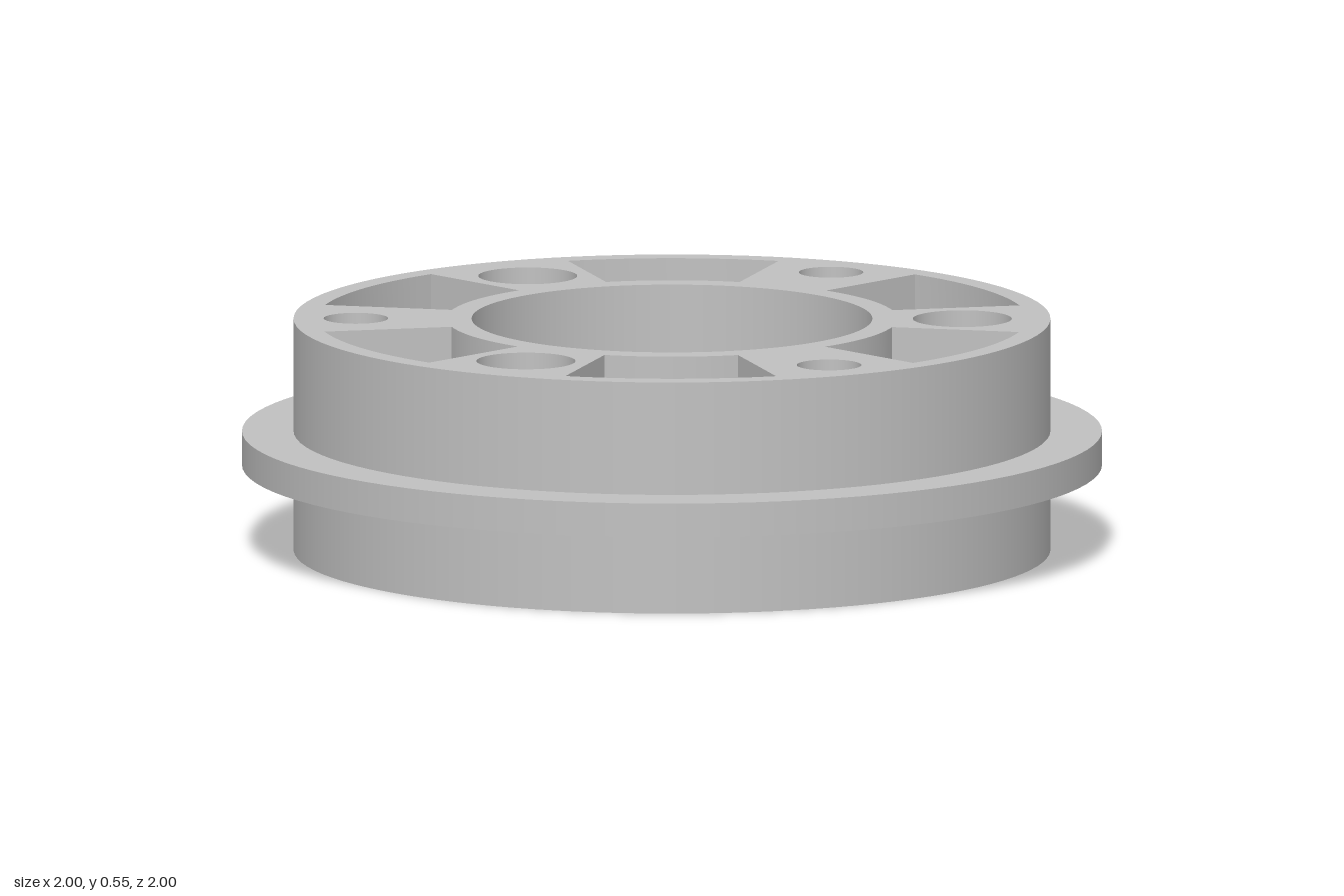
import * as THREE from 'three';
import { toCreasedNormals } from 'three/addons/utils/BufferGeometryUtils.js';

const R_BODY = 0.88, R_BORE = 0.466, R_FLANGE = 1, HEIGHT = 0.545;
const FLANGE_LOW = 0.2, FLANGE_HIGH = 0.28, POCKET_FLOOR = 0.2;
const SCREW_R = 0.07, SCREW_Y = 0.09, GAP = 0.14;
const rad = THREE.MathUtils.degToRad;

// Bolt holes: three large and three small, alternating every 60 degrees
const HOLES = [];
for (let i = 0; i < 3; i++) {
  const a = rad(-90 + i * 120), b = rad(90 + i * 120);
  HOLES.push({ x: 0.675 * Math.cos(a), z: 0.675 * Math.sin(a), r: 0.115 });
  HOLES.push({ x: 0.735 * Math.cos(b), z: 0.735 * Math.sin(b), r: 0.075 });
}

// Reverse the facing of an indexed geometry
function flip(g) {
  const index = g.index.array, n = g.attributes.normal.array;
  for (let i = 0; i < index.length; i += 3) [index[i], index[i + 1]] = [index[i + 1], index[i]];
  for (let i = 0; i < n.length; i++) n[i] = -n[i];
  return g;
}

// Flat horizontal face; shape coordinates are (x, z)
function face(shape, y, up) {
  const g = new THREE.ShapeGeometry(shape, 48).rotateX(Math.PI / 2).translate(0, y, 0);
  return up ? flip(g) : g;
}

// Skin between closed loops of [x, y, z] points
function loft(loops) {
  const n = loops[0].length, index = [];
  for (let j = 0; j < loops.length - 1; j++) {
    for (let i = 0; i < n; i++) {
      const a = j * n + i, b = j * n + (i + 1) % n;
      index.push(a, b, a + n, b, b + n, a + n);
    }
  }
  const g = new THREE.BufferGeometry();
  g.setAttribute('position', new THREE.Float32BufferAttribute(loops.flat(2), 3));
  g.setIndex(index);
  g.computeVertexNormals();
  return g;
}

// Open cylinder wall, optionally leaving a gap around +x for the screw hole
function wall(r, y0, y1, inward = false, gap = 0) {
  const g = new THREE.CylinderGeometry(r, r, y1 - y0, 96, 1, true, Math.PI / 2 + gap, Math.PI * 2 - 2 * gap);
  g.translate(0, (y0 + y1) / 2, 0);
  return inward ? flip(g) : g;
}

// Loop on a cylinder of radius r, from screw hole circle (t = 0) to patch border (t = 1)
function screwLoop(r, t) {
  const points = [];
  for (let i = 0; i < 48; i++) {
    const a = (i / 48) * Math.PI * 2, c = Math.cos(a), s = Math.sin(a);
    const m = Math.max(Math.abs(c), Math.abs(s));
    const edgeY = (s / m) * (s > 0 ? FLANGE_LOW - SCREW_Y : SCREW_Y);
    const z = THREE.MathUtils.lerp(SCREW_R * c, GAP * c / m, t);
    const y = SCREW_Y + THREE.MathUtils.lerp(SCREW_R * s, edgeY, t);
    points.push([Math.sqrt(r * r - z * z), y, z]);
  }
  return points;
}

// Wedge outline of one pocket, centred on an angle
function pocketPoints(angle) {
  const points = [], half = rad(17.2), steps = 12;
  for (let i = 0; i <= steps; i++) {
    const a = angle - half + (2 * half * i) / steps;
    points.push(new THREE.Vector2(0.828 * Math.cos(a), 0.828 * Math.sin(a)));
  }
  for (let i = steps; i >= 0; i--) {
    const a = angle - half + (2 * half * i) / steps;
    points.push(new THREE.Vector2(0.525 * Math.cos(a), 0.525 * Math.sin(a)));
  }
  return points;
}

// Ring shape with the bolt holes cut when asked
function ring(outer, inner, drilled) {
  const shape = new THREE.Shape().absarc(0, 0, outer, 0, Math.PI * 2);
  shape.holes.push(new THREE.Path().absarc(0, 0, inner, 0, Math.PI * 2, true));
  if (drilled) {
    for (const h of HOLES) shape.holes.push(new THREE.Path().absarc(h.x, h.z, h.r, 0, Math.PI * 2, true));
  }
  return shape;
}

export function createModel() {
  const model = new THREE.Group();
  model.name = 'flangedHub';
  const metal = new THREE.MeshStandardMaterial({ color: 0xc0c0c0, side: THREE.DoubleSide });
  metal.name = 'grey metal';
  const add = (name, geometry) => {
    const mesh = new THREE.Mesh(geometry, metal);
    mesh.name = name;
    model.add(mesh);
    return mesh;
  };

  // Top and bottom faces
  const top = ring(R_BODY, R_BORE, true);
  const pockets = [0, 1, 2, 3, 4, 5].map((i) => pocketPoints(rad(i * 60)));
  for (const p of pockets) top.holes.push(new THREE.Path(p));
  add('topFace', face(top, HEIGHT, true));
  add('bottomFace', face(ring(R_BODY, R_BORE, true), 0, false));

  // Body walls and bore
  add('upperWall', wall(R_BODY, FLANGE_HIGH, HEIGHT));
  add('lowerWall', wall(R_BODY, 0, FLANGE_LOW, false, Math.asin(GAP / R_BODY)));
  add('upperBore', wall(R_BORE, FLANGE_LOW, HEIGHT, true));
  add('lowerBore', wall(R_BORE, 0, FLANGE_LOW, true, Math.asin(GAP / R_BORE)));

  // Flange
  add('flangeRim', wall(R_FLANGE, FLANGE_LOW, FLANGE_HIGH));
  add('flangeTop', face(ring(R_FLANGE, R_BODY, false), FLANGE_HIGH, true));
  add('flangeUnderside', face(ring(R_FLANGE, R_BODY, false), FLANGE_LOW, false));

  // Bolt holes
  for (const h of HOLES) add('boltHole', wall(h.r, 0, HEIGHT, true).translate(h.x, 0, h.z));

  // Pockets with walls and floor
  for (const p of pockets) {
    const loop = (y) => p.map((v) => [v.x, y, v.y]);
    add('pocketWall', toCreasedNormals(loft([loop(POCKET_FLOOR), loop(HEIGHT)]), 0.5));
    add('pocketFloor', face(new THREE.Shape(p), POCKET_FLOOR, true));
  }

  // Radial set screw hole on the left side
  const rings = [0, 0.33, 0.67, 1];
  add('screwHoleSurround', flip(loft(rings.map((t) => screwLoop(R_BODY, t)))));
  add('screwHoleBoreEnd', loft(rings.map((t) => screwLoop(R_BORE, t))));
  add('screwHoleWall', loft([screwLoop(R_BORE, 0), screwLoop(R_BODY, 0)]));
  return model;
}
